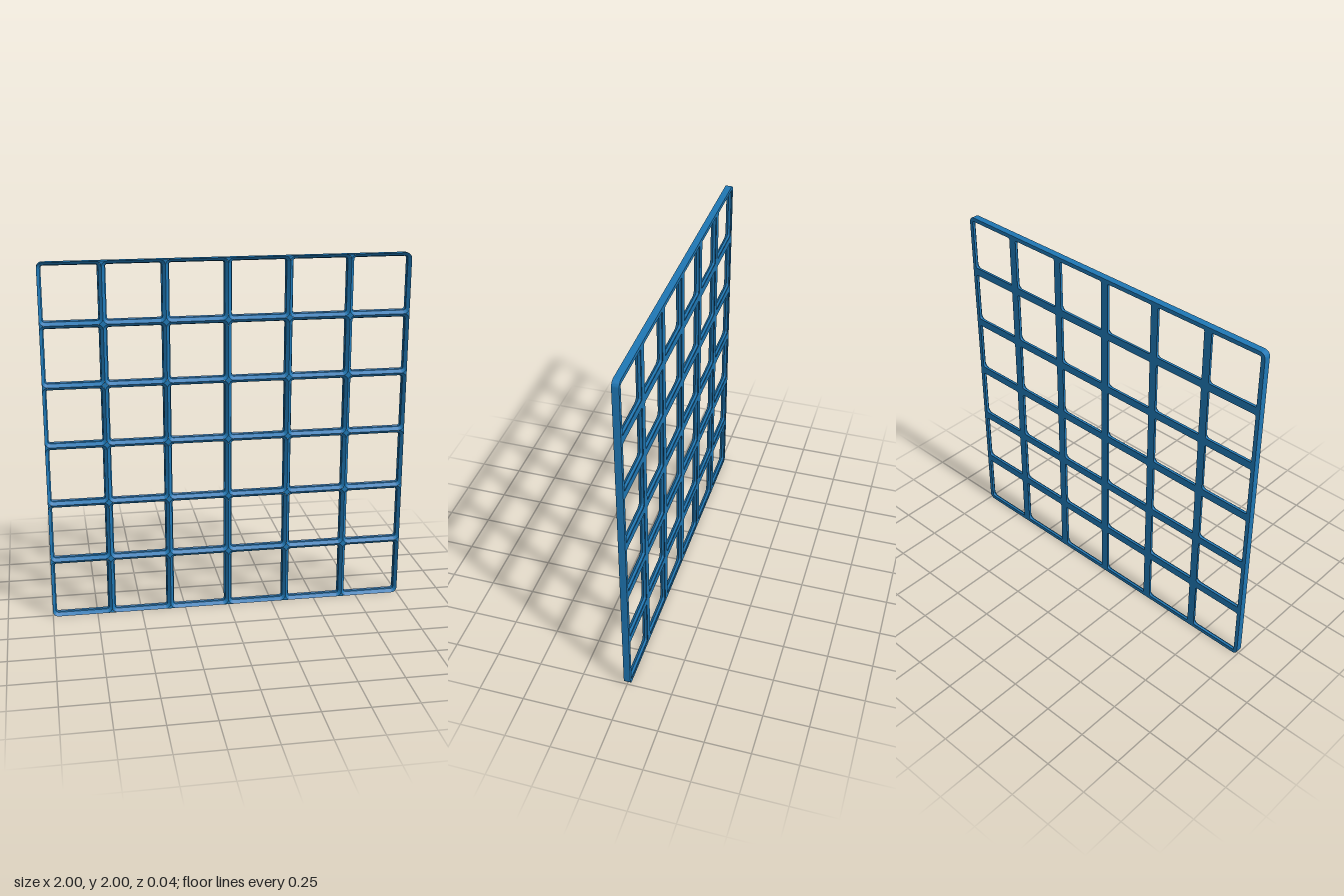
import * as THREE from 'three';
import { mergeGeometries, toCreasedNormals } from 'three/addons/utils/BufferGeometryUtils.js';

const CELLS = 6;
const PITCH = 2 / CELLS;
const MM = PITCH / 42;            // a cell is 42 small units wide
const DEPTH = 4.65 * MM;
const RADIUS = 4 * MM;
const ARC = 8;

// Socket profile from front lip to back face: [inset, z]
const PROFILE = [[0, 4.65], [2.15, 2.5], [2.85 - 0.7, 0.7], [2.85, 0]]
  .map(([inset, z]) => [inset * MM, z * MM - DEPTH / 2]);
const BACK_INSET = PROFILE[3][0];

// Counter-clockwise rounded square, as a list of points
function roundedSquare(size, radius, cx = 0, cy = 0) {
  const points = [];
  const h = size / 2 - radius;
  [[1, 1], [-1, 1], [-1, -1], [1, -1]].forEach(([sx, sy], corner) => {
    for (let i = 0; i <= ARC; i++) {
      const a = (corner + i / ARC) * Math.PI / 2;
      points.push(new THREE.Vector2(
        cx + sx * h + radius * Math.cos(a), cy + sy * h + radius * Math.sin(a)));
    }
  });
  return points;
}

// Skin between loops; faces outward for rising z, inward for falling z
function loft(rings) {
  const position = [];
  const index = [];
  const n = rings[0].points.length;
  rings.forEach(({ points, z }) => points.forEach((p) => position.push(p.x, p.y, z)));
  for (let r = 0; r < rings.length - 1; r++) {
    for (let i = 0; i < n; i++) {
      const j = (i + 1) % n;
      const a = r * n + i, b = r * n + j, c = b + n, d = a + n;
      index.push(a, b, c, a, c, d);
    }
  }
  const geometry = new THREE.BufferGeometry();
  geometry.setAttribute('position', new THREE.Float32BufferAttribute(position, 3));
  geometry.setIndex(index);
  return toCreasedNormals(geometry, 0.5);
}

export function createModel() {
  const group = new THREE.Group();
  group.name = 'gridPlate';
  const material = new THREE.MeshStandardMaterial({ color: 0x1f77b4 });
  const add = (name, geometry) => {
    const mesh = new THREE.Mesh(geometry, material);
    mesh.name = name;
    mesh.position.y = 1;
    group.add(mesh);
  };

  // Small flat web left between a square corner and its rounded lip
  const webShape = new THREE.Shape();
  webShape.moveTo(0, 0);
  webShape.lineTo(RADIUS, 0);
  webShape.absarc(RADIUS, RADIUS, RADIUS, Math.PI * 1.5, Math.PI, true);
  const web = new THREE.ShapeGeometry(webShape, ARC);

  const sockets = [];
  const webs = [];
  const back = new THREE.Shape(roundedSquare(2, RADIUS));

  for (let row = 0; row < CELLS; row++) {
    for (let col = 0; col < CELLS; col++) {
      const cx = (col + 0.5) * PITCH - 1;
      const cy = (row + 0.5) * PITCH - 1;

      // Stepped, chamfered walls of one opening
      sockets.push(loft(PROFILE.map(([inset, z]) => ({
        points: roundedSquare(PITCH - 2 * inset, RADIUS - inset, cx, cy), z,
      }))));
      back.holes.push(new THREE.Path(
        roundedSquare(PITCH - 2 * BACK_INSET, RADIUS - BACK_INSET, cx, cy)));

      // Webs at the crossings, skipping the plate's own rounded corners
      [[-1, -1], [1, -1], [1, 1], [-1, 1]].forEach(([sx, sy], k) => {
        const x = cx + sx * PITCH / 2;
        const y = cy + sy * PITCH / 2;
        if (Math.abs(x) > 0.99 && Math.abs(y) > 0.99) return;
        webs.push(web.clone().rotateZ(k * Math.PI / 2).translate(x, y, DEPTH / 2));
      });
    }
  }

  add('socketWalls', mergeGeometries(sockets));
  add('crossingWebs', mergeGeometries(webs));

  // Outer rim
  add('outerRim', loft([-DEPTH / 2, DEPTH / 2].map((z) => (
    { points: roundedSquare(2, RADIUS), z }))));

  // Flat back lattice, turned to face backwards
  add('backLattice', new THREE.ShapeGeometry(back).rotateY(Math.PI).translate(0, 0, -DEPTH / 2));

  return group;
}
